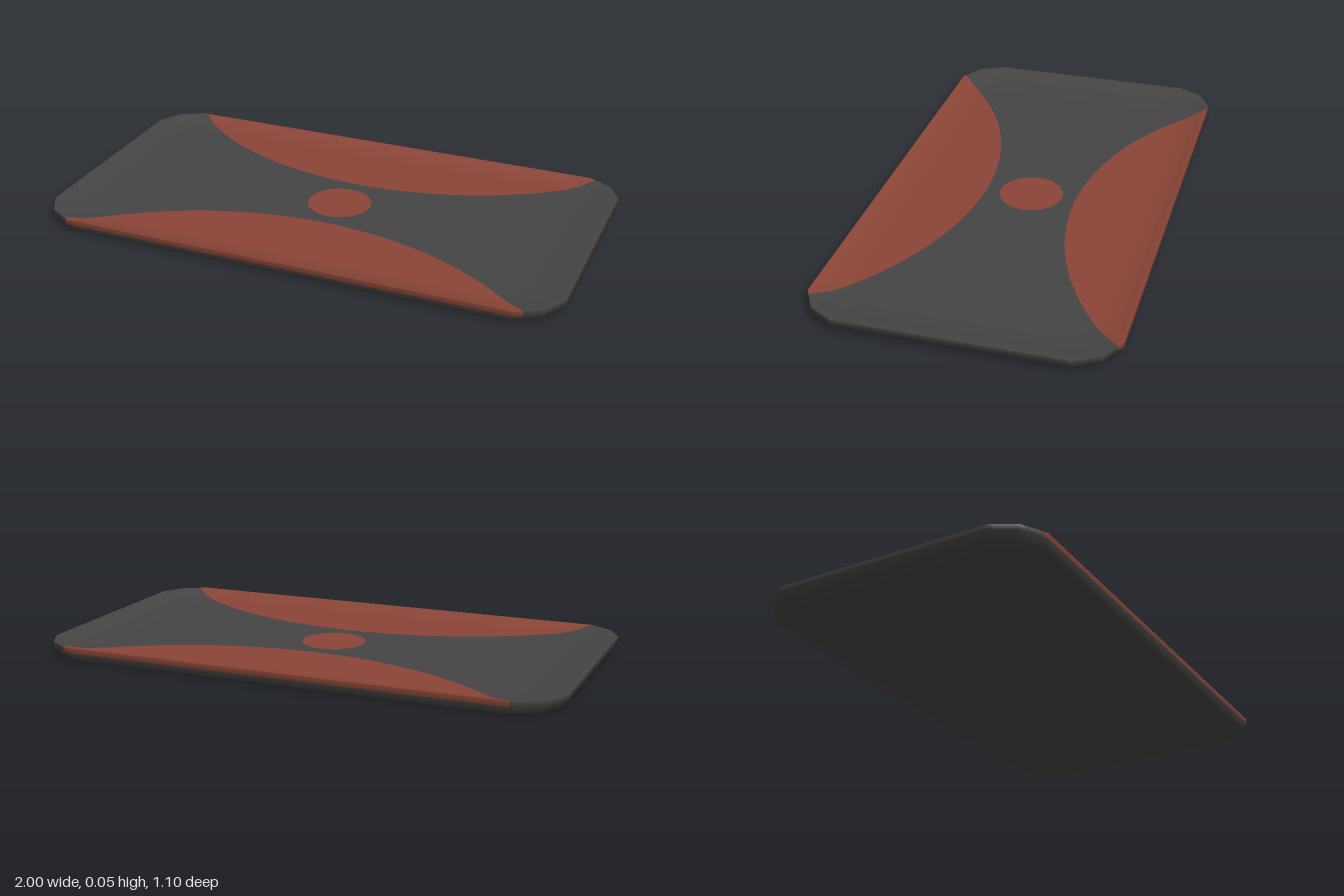
import * as THREE from 'three';

const GREY = new THREE.MeshStandardMaterial({ color: 0x454545 });
GREY.name = 'charcoal';
const RED = new THREE.MeshStandardMaterial({ color: 0x8a4537 });
RED.name = 'brick red';

// Rounded-rectangle outline with faceted corners, finely subdivided
function outline() {
  const q = [[1, 0.41], [0.95, 0.5], [0.86, 0.55]];
  const flip = (sx, sz) => q.map(([x, z]) => [x * sx, z * sz]);
  const pts = [...q, ...flip(-1, 1).reverse(), ...flip(-1, -1), ...flip(1, -1).reverse()];
  const out = [];
  pts.forEach(([x, z], i) => {
    const [u, w] = pts[(i + 1) % pts.length];
    const n = Math.ceil(Math.hypot(u - x, w - z) / 0.025);
    for (let k = 0; k < n; k++) out.push([x + (u - x) * k / n, z + (w - z) * k / n]);
  });
  return out;
}

// Skin a list of [scale, height] rings with smooth normals
function loft(rings) {
  const loop = outline(), n = loop.length, pos = [], index = [];
  for (const [s, y] of rings) for (const [x, z] of loop) pos.push(x * s, y, z * s);
  for (let i = 0; i < rings.length - 1; i++) {
    for (let j = 0; j < n; j++) {
      const a = i * n + j, b = i * n + (j + 1) % n;
      index.push(a, a + n, b + n, a, b + n, b);
    }
  }
  const g = new THREE.BufferGeometry();
  g.setAttribute('position', new THREE.Float32BufferAttribute(pos, 3));
  g.setIndex(index);
  g.computeVertexNormals();
  return g;
}

// Turn a geometry into triangles of { p, n } corners
function triangles(geometry) {
  const g = geometry.toNonIndexed(), { position, normal } = g.attributes, tris = [];
  const corner = (i) => ({
    p: new THREE.Vector3().fromBufferAttribute(position, i),
    n: new THREE.Vector3().fromBufferAttribute(normal, i),
  });
  for (let i = 0; i < position.count; i += 3) tris.push([corner(i), corner(i + 1), corner(i + 2)]);
  return tris;
}

// Keep the part of a triangle where sign * f is negative
function clip(tri, f, sign) {
  const poly = [];
  tri.forEach((a, i) => {
    const b = tri[(i + 1) % 3], fa = f(a.p) * sign, fb = f(b.p) * sign;
    if (fa <= 0) poly.push(a);
    if (fa * fb < 0) {
      const t = fa / (fa - fb);
      poly.push({ p: a.p.clone().lerp(b.p, t), n: a.n.clone().lerp(b.n, t).normalize() });
    }
  });
  const out = [];
  for (let i = 1; i < poly.length - 1; i++) out.push([poly[0], poly[i], poly[i + 1]]);
  return out;
}

function toMesh(name, tris, material) {
  const g = new THREE.BufferGeometry(), corners = tris.flat();
  g.setAttribute('position', new THREE.Float32BufferAttribute(corners.flatMap((c) => c.p.toArray()), 3));
  g.setAttribute('normal', new THREE.Float32BufferAttribute(corners.flatMap((c) => c.n.toArray()), 3));
  const mesh = new THREE.Mesh(g, material);
  mesh.name = name;
  return mesh;
}

export function createModel() {
  const group = new THREE.Group();
  group.name = 'tray';

  // Underside, chamfer and outer wall
  const shell = loft([[0, 0], [0.9, 0], [0.97, 0], [1, 0.03], [1, 0.05]]);

  // Narrow rim sloping into a shallow dished floor
  const dish = [[1, 0.05], [0.978, 0.049], [0.95, 0.042], [0.91, 0.035], [0.85, 0.031]];
  for (let i = 23; i >= 0; i--) dish.push([0.85 * i / 24, 0.03]);

  let body = [...triangles(shell), ...triangles(loft(dish))];

  // Red areas cut out of the body: two edge arcs and a centre disc
  const patches = [
    ['backArc', 0.03, -1.39, 1.21],
    ['frontArc', 0.01, 1.4, 1.23],
    ['centreDisc', 0.01, -0.005, 0.122],
  ];
  for (const [name, cx, cz, r] of patches) {
    const f = (p) => Math.hypot(p.x - cx, p.z - cz) - r;
    const inside = [], outside = [];
    for (const tri of body) {
      if (tri.some((c) => c.p.y < 0.0299)) {
        outside.push(tri);
        continue;
      }
      inside.push(...clip(tri, f, 1));
      outside.push(...clip(tri, f, -1));
    }
    group.add(toMesh(name, inside, RED));
    body = outside;
  }
  group.add(toMesh('trayBody', body, GREY));
  return group;
}
